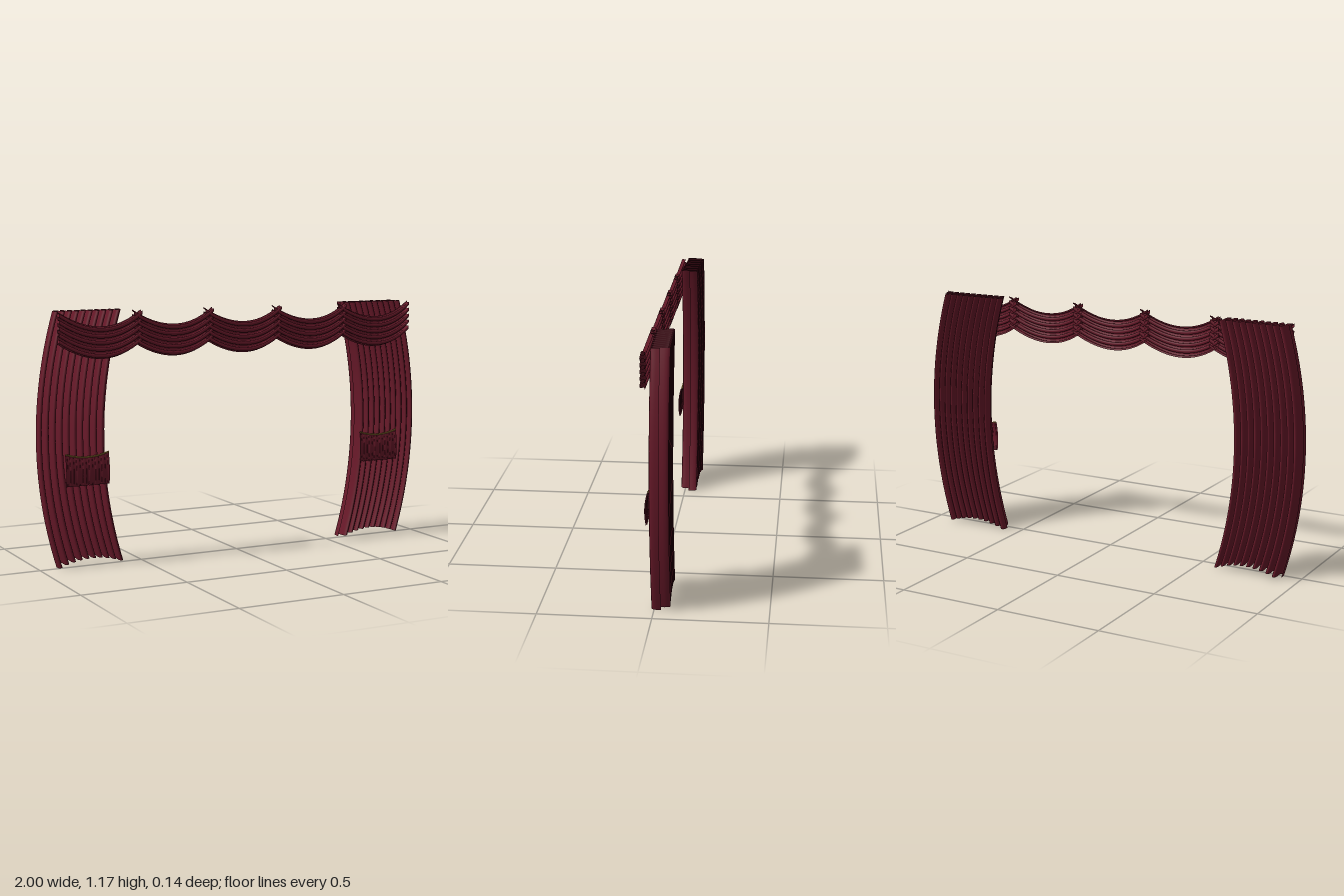
import * as THREE from 'three';

const velvet = new THREE.MeshStandardMaterial({ color: 0x681929, side: THREE.DoubleSide });
const gold = new THREE.MeshStandardMaterial({ color: 0xa8873a });

// Cloth sheet: fn(u, v) returns [x, y, z], u across and v up, both 0..1
function sheet(name, nu, nv, fn) {
  const geometry = new THREE.PlaneGeometry(1, 1, nu, nv);
  const p = geometry.attributes.position;
  for (let i = 0; i < p.count; i++) p.setXYZ(i, ...fn(p.getX(i) + 0.5, p.getY(i) + 0.5));
  geometry.computeVertexNormals();
  const mesh = new THREE.Mesh(geometry, velvet);
  mesh.name = name;
  return mesh;
}

// Rounded pleat: position along the cloth width (0..1) and depth (-1..1)
function pleat(t, folds, phase) {
  const a = 2 * Math.PI * folds * t + phase;
  return { along: t + (0.16 / folds) * Math.sin(2 * a), depth: Math.cos(a) };
}

// Side curtain: deep pleats, bowed outward at mid height, arched hem
function curtain(side) {
  return sheet('curtain', 160, 28, (u, v) => {
    const { along, depth } = pleat(u, 10, -Math.PI / 2);
    const bow = 0.088 * (1 - (2 * v - 1) ** 2);
    const hem = 0.035 * (1 - (2 * u - 1) ** 2);
    return [
      side * (0.91 - 0.327 * along + bow),
      hem * (1 - v) + 1.172 * v,
      -0.03 + 0.01 * u + 0.041 * depth,
    ];
  });
}

// Tieback: thin pleated velvet band with a gold cord along its drooping top edge
function tieback(side) {
  const group = new THREE.Group();
  group.name = 'tieback';
  const width = 0.212;
  const cx = side * 0.777;
  const topY = (s) => 0.528 - 0.018 * (1 - s * s);
  group.add(sheet('tiebackBand', 84, 10, (u, v) => {
    const { along, depth } = pleat(u, 7, 0);
    return [
      cx + (along - 0.5) * width,
      0.38 + (topY(2 * u - 1) - 0.38) * v,
      0.034 - 0.006 * v + 0.036 * v * (1 - v) + 0.003 * depth,
    ];
  }));
  const points = [-1, -0.5, 0, 0.5, 1].map(
    (s) => new THREE.Vector3(cx + (s * width) / 2, topY(s), 0.031));
  const cord = new THREE.Mesh(
    new THREE.TubeGeometry(new THREE.CatmullRomCurve3(points), 24, 0.004, 6), gold);
  cord.name = 'tiebackCord';
  group.add(cord);
  return group;
}

// One swag of the valance: five horizontal folds hanging in a parabola
function swag(cx) {
  return sheet('swag', 24, 80, (u, v) => {
    const { along, depth } = pleat(v, 5, Math.PI);
    const s = 2 * u - 1;
    const droop = 1 - s * s;
    return [
      cx + 0.202 * s,
      1.025 + 0.147 * along - 0.07 * droop,
      0.036 + 0.024 * droop + 0.011 * depth,
    ];
  });
}

export function createModel() {
  const model = new THREE.Group();
  model.name = 'stageCurtains';

  for (const side of [-1, 1]) {
    const group = new THREE.Group();
    group.name = side > 0 ? 'leftCurtain' : 'rightCurtain';
    group.add(curtain(side), tieback(side));
    model.add(group);
  }

  // Valance: swags overlap so that their tips cross
  const valance = new THREE.Group();
  valance.name = 'valance';
  for (let i = -2; i <= 2; i++) valance.add(swag(0.017 + 0.361 * i));
  model.add(valance);

  return model;
}
